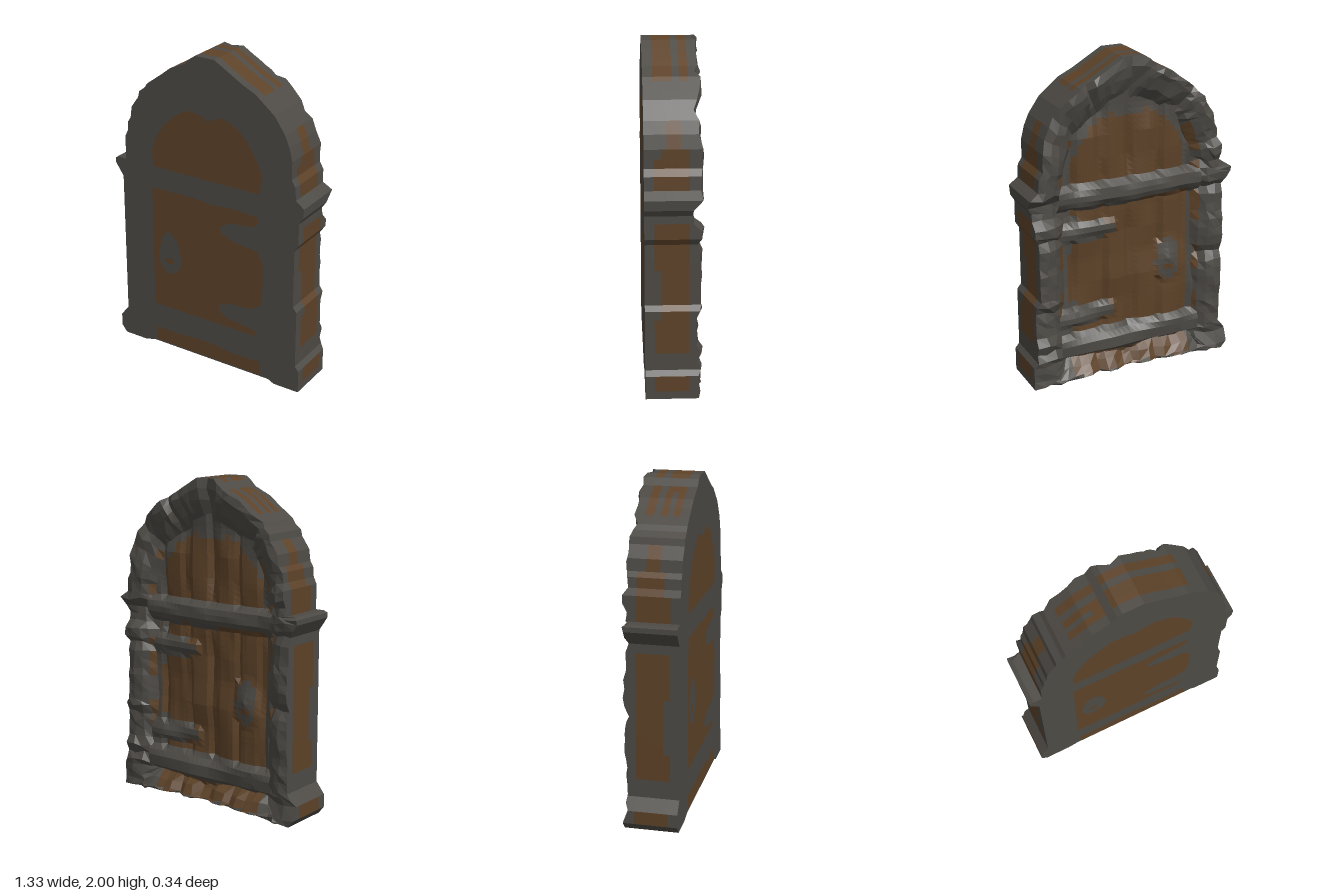
import * as THREE from 'three';

const GREY = 0, BROWN = 1;
const FRONT = 0.166;

// Silhouette of the stone surround, counter-clockwise
const OUTLINE = [[-.63, .005], [-.47, .005], [-.4, .025], [.45, .025], [.49, .005], [.66, .005], [.66, .15], [.635, .18],
  [.635, .55], [.61, .58], [.61, .95], [.635, .99], [.635, 1.13], [.66, 1.17], [.665, 1.23], [.61, 1.27], [.605, 1.35],
  [.58, 1.39], [.58, 1.5], [.56, 1.58], [.53, 1.65], [.46, 1.75], [.36, 1.83], [.335, 1.85], [.25, 1.89], [.13, 1.96],
  [.06, 2], [-.07, 2], [-.1, 1.98], [-.14, 1.94], [-.25, 1.89], [-.3, 1.85], [-.41, 1.77], [-.43, 1.74], [-.47, 1.71],
  [-.48, 1.67], [-.53, 1.6], [-.54, 1.53], [-.56, 1.5], [-.565, 1.44], [-.585, 1.4], [-.585, 1.25], [-.64, 1.25],
  [-.665, 1.24], [-.665, 1.21], [-.61, 1.13], [-.61, .2], [-.665, .13], [-.665, .05]];

// Wooden areas
const ARCH_PANEL = [[-.38, 1.25], [.37, 1.25], [.385, 1.37], [.35, 1.45], [.28, 1.56], [.22, 1.62], [.12, 1.66], [.06, 1.645],
  [.01, 1.62], [-.04, 1.65], [-.12, 1.66], [-.2, 1.62], [-.3, 1.53], [-.36, 1.43], [-.385, 1.35]];
const DOOR = [[-.39, .3], [.35, .3], [.36, .33], [.3, .345], [.15, .36], [.09, .4], [.1, .44], [.18, .47], [.33, .48],
  [.39, .53], [.4, .65], [.4, .8], [.36, .88], [.2, .895], [.11, .93], [.1, .97], [.16, 1.01], [.33, 1.03],
  [.37, 1.07], [.36, 1.1], [.2, 1.11], [.04, 1.1], [-.08, 1.11], [-.39, 1.11]];
const KNOCKER = [[-.27, .84], [-.32, .8], [-.35, .68], [-.34, .59], [-.28, .54], [-.21, .57], [-.18, .65], [-.21, .78]];
const KNOCKER_STUD = [[-.31, .63], [-.27, .66], [-.24, .65], [-.24, .62], [-.28, .61]];
const STEP = [[-.38, .035], [.39, .035], [.39, .13], [.2, .12], [.05, .14], [-.05, .14], [-.2, .13], [-.38, .13]];

const hash = (a, b = 0) => {
  const s = Math.sin(a * 127.1 + b * 311.7 + 7.3) * 43758.5453;
  return s - Math.floor(s);
};
const { lerp, clamp } = THREE.MathUtils;

// Lattice noise, linear between lattice points, for chunky facets
function noise(x, y) {
  const i = Math.floor(x), j = Math.floor(y), u = x - i, v = y - j;
  return lerp(lerp(hash(i, j), hash(i + 1, j), u), lerp(hash(i, j + 1), hash(i + 1, j + 1), u), v);
}

function inside(poly, x, y) {
  let hit = false;
  poly.forEach(([ax, ay], i) => {
    const [bx, by] = poly[(i + 1) % poly.length];
    if ((ay > y) !== (by > y) && x < ax + (bx - ax) * (y - ay) / (by - ay)) hit = !hit;
  });
  return hit;
}

const isWood = (x, y) => inside(ARCH_PANEL, x, y) || inside(STEP, x, y) || inside(KNOCKER_STUD, x, y) ||
  (inside(DOOR, x, y) && !inside(KNOCKER, x, y));

// Brown weathering on faces turned sideways
function sideStain(y, z) {
  if (z > .11 || z < -.092) return false;
  if (y > .07 && y < .14) return true;
  if (y > .3 && y < 1.1) return !(z > .07 && y > .5 && y < .8);
  if (y > 1.25 && y < 1.42) return true;
  if (y >= 1.42 && y < 1.54) return z < .07;
  return y >= 1.54 && y < 1.66 && z < .04 && z > -.04;
}

// Brown weathering on faces turned up or down
function topStain(x, z) {
  if (Math.abs(x) > .37 || (x < -.2 && x > -.34 && z > .04 && z < .07)) return false;
  return (z < .11 && z > 0) || (z < -.04 && z > -.092);
}

// Collects quads into one faceted geometry with a group per colour
class Facets {
  constructor() { this.lists = [[], []]; }
  quad(a, b, c, d, colour) { this.lists[colour].push(...a, ...b, ...c, ...a, ...c, ...d); }
  build() {
    const g = new THREE.BufferGeometry();
    g.setAttribute('position', new THREE.Float32BufferAttribute(this.lists.flat(), 3));
    const n = this.lists[0].length / 3;
    g.addGroup(0, n, GREY);
    g.addGroup(n, this.lists[1].length / 3, BROWN);
    g.computeVertexNormals();
    return g;
  }
}

function resample(points, step) {
  const out = [];
  points.forEach(([ax, ay], i) => {
    const [bx, by] = points[(i + 1) % points.length];
    const n = Math.max(1, Math.round(Math.hypot(bx - ax, by - ay) / step));
    for (let k = 0; k < n; k++) out.push([lerp(ax, bx, k / n), lerp(ay, by, k / n)]);
  });
  return out;
}

// Point on an arched opening that belongs to an outline point
function doorway([x, y], halfWidth, rise, floor) {
  if (y <= 1.25) return [clamp(x, -halfWidth, halfWidth), Math.max(y, floor)];
  const dy = y - 1.25, t = 1 / Math.hypot(x / halfWidth, dy / rise);
  return [x * t, 1.25 + dy * t];
}

// Outer wall, rough stone rim and the sloping reveal of the doorway, as one sweep
function surroundGeometry() {
  const f = new Facets(), pts = resample(OUTLINE, .055);
  const sections = pts.map((p, i) => {
    const edge = doorway(p, .51, .63, .04), base = doorway(p, .42, .48, .14);
    const seam = hash(i, 21) < .22 ? .025 : 0, stone = .02 * hash(Math.floor(i / 3), 3);
    const notch = p[0] > 0 && p[1] > 1.08 && p[1] < 1.18 ? .04 : 0;
    const back = (depth, k) => -(depth - seam - stone - notch + .014 * (hash(i, k) - .5));
    const rough = (a, b, t, k) => [0, 1].map((c) => lerp(a[c], b[c], t) + .022 * (hash(i, k + c) - .5));
    return [
      ...[FRONT, .11, .07, .04, 0, -.04, -.09].map((z) => [...p, z]),
      [...p, back(.162, 1)],
      [...rough(p, edge, .5, 2), back(.17, 4)],
      [...rough(p, edge, 1, 5), back(.158, 7)],
      [...rough(edge, base, .5, 8), back(.128, 10)],
      [...base, -.066],
      [base[0] * .98, base[1], -.03],
    ];
  });
  sections.forEach((s, i) => {
    const t = sections[(i + 1) % sections.length];
    const steep = Math.abs(t[0][1] - s[0][1]) >= Math.abs(t[0][0] - s[0][0]);
    for (let k = 0; k < s.length - 1; k++) {
      const x = (s[k][0] + t[k + 1][0]) / 2, y = (s[k][1] + t[k + 1][1]) / 2, z = (s[k][2] + s[k + 1][2]) / 2;
      const flat = k > 6 && (k < 10 || y < .2);
      const stained = flat ? isWood(x, y) : steep || k > 6 ? sideStain(y, z) : topStain(x, z);
      f.quad(s[k + 1], t[k + 1], t[k], s[k], stained ? BROWN : GREY);
    }
  });
  return f.build();
}

// How far the rough side of the door stands out
function relief(x, y) {
  const u = ((x + .57 + .02 * noise(3, y * 5)) / .19) % 1, plank = Math.min(1, 5 * Math.min(u, 1 - u));
  let d = .055 + .025 * plank;
  const bar = (centre, half, height) => {
    const wave = centre + .03 * (noise(x * 6, centre * 9) - .5);
    d = Math.max(d, lerp(height, .05, clamp((Math.abs(y - wave) - half) / .04, 0, 1)));
  };
  bar(1.18, .045, .13); // transom
  bar(.21, .05, .13);   // sill
  if (x > .08) { bar(.96, .03, .098); bar(.41, .03, .098); } // hinges
  const r = Math.hypot((x + .27) / .09, (y - .68) / .14);
  if (r < 1.1) d = Math.max(d, .115 - .03 * r); // knocker
  return d + .04 * (noise(x * 8, y * 6.5) - .5);
}

// Planks, transom, sill, hinges and knocker on the rough side
function reliefGeometry() {
  const f = new Facets(), nx = 28, ny = 50;
  const vertex = (i, j) => {
    const x = lerp(-.47, .47, i / nx), y = lerp(.1, 1.81, j / ny);
    return [x, y, -relief(x, y)];
  };
  for (let i = 0; i < nx; i++) for (let j = 0; j < ny; j++) {
    const a = vertex(i, j), b = vertex(i, j + 1), c = vertex(i + 1, j + 1), d = vertex(i + 1, j);
    const x = (a[0] + c[0]) / 2, y = (a[1] + c[1]) / 2;
    if (y > 1.25 && Math.hypot(x / .48, (y - 1.25) / .56) > 1) continue;
    f.quad(a, b, c, d, isWood(x, y) ? BROWN : GREY);
  }
  return f.build();
}

function flatShape(points, hole) {
  const toPath = (P, list) => new P(list.map(([x, y]) => new THREE.Vector2(x, y)));
  const shape = toPath(THREE.Shape, points);
  if (hole) shape.holes.push(toPath(THREE.Path, hole));
  return new THREE.ShapeGeometry(shape);
}

export function createModel() {
  const stone = new THREE.MeshStandardMaterial({ color: 0x4d4a45 });
  stone.name = 'stone grey';
  const wood = new THREE.MeshStandardMaterial({ color: 0x5d4228 });
  wood.name = 'wood brown';

  const model = new THREE.Group();
  model.name = 'archedDoor';
  const add = (name, geometry, material, z = 0) => {
    const mesh = new THREE.Mesh(geometry, material);
    mesh.name = name;
    mesh.position.z = z;
    model.add(mesh);
  };

  add('stoneSurround', surroundGeometry(), [stone, wood]);
  add('doorRelief', reliefGeometry(), [stone, wood]);

  // Smooth side with flat wooden areas
  add('frontFace', flatShape(OUTLINE), stone, FRONT);
  add('frontArchPanel', flatShape(ARCH_PANEL), wood, FRONT + .002);
  add('frontDoor', flatShape(DOOR, KNOCKER), wood, FRONT + .002);
  add('frontKnockerStud', flatShape(KNOCKER_STUD), wood, FRONT + .002);
  add('frontStep', flatShape(STEP), wood, FRONT + .002);
  return model;
}
